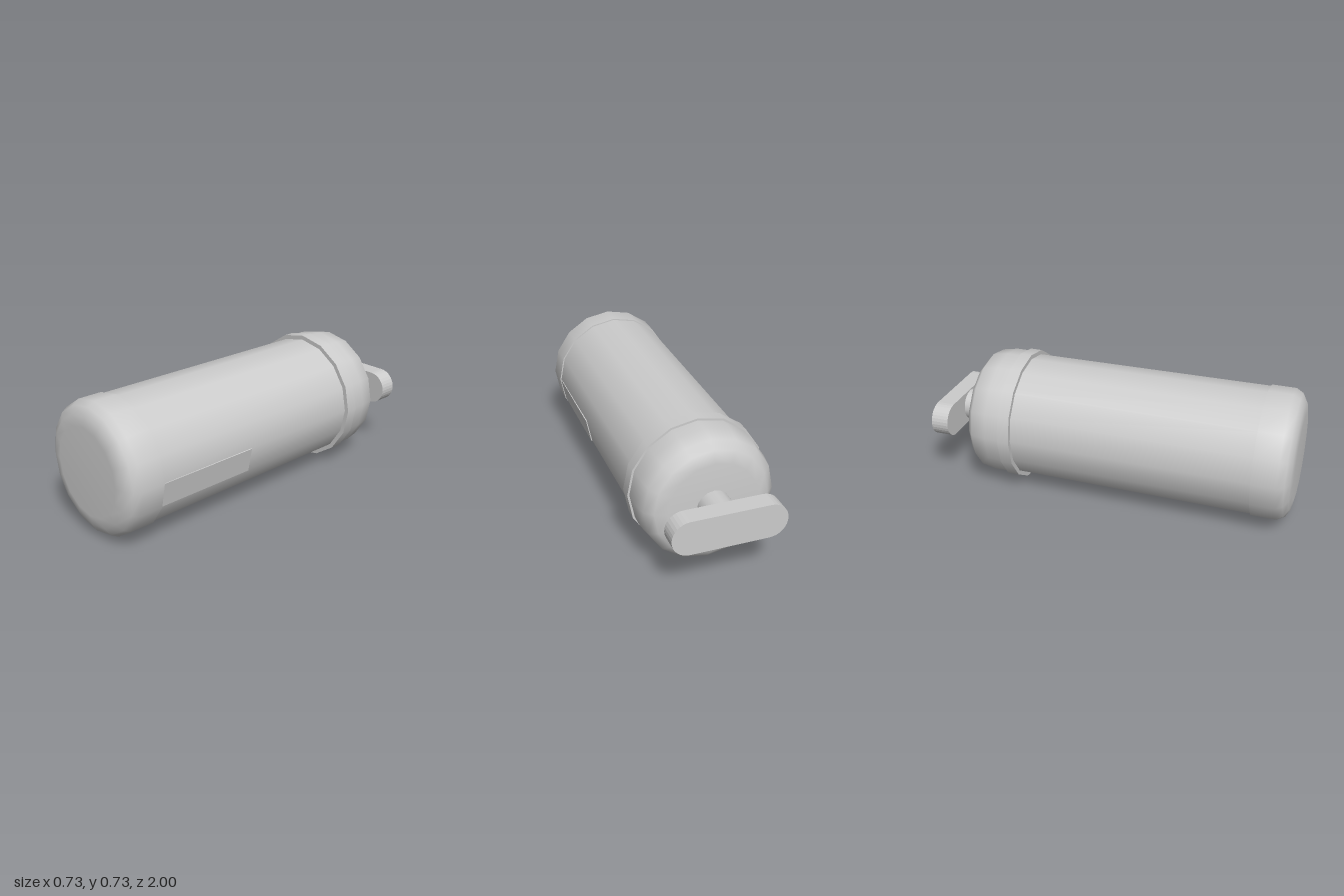
import * as THREE from 'three';

const CENTER_Y = 0.365;
const SIDES = 16;

// Turn a profile of [radius, z] points, listed from back to front, around the z axis.
// A repeated point makes a sharp edge.
function turned(name, profile, material, sides = SIDES) {
  const geometry = new THREE.LatheGeometry(profile.map(([r, z]) => new THREE.Vector2(r, z)), sides);
  geometry.normalizeNormals();
  geometry.rotateX(Math.PI / 2);
  const mesh = new THREE.Mesh(geometry, material);
  mesh.name = name;
  return mesh;
}

// Profile with every corner sharp
const sharp = (points) => points.flatMap((p, i) => (i > 0 && i < points.length - 1 ? [p, p] : [p]));

export function createModel() {
  const model = new THREE.Group();
  model.name = 'canister';
  const grey = new THREE.MeshStandardMaterial({ color: 0xcccccc });
  grey.name = 'light grey';

  // Long barrel, very slightly tapered to the back
  model.add(turned('barrel', [[0.339, -0.56], [0.345, 0.82]], grey));

  // Rounded front cap
  model.add(turned('frontCap', [
    [0.338, 0.8], [0.352, 0.8], [0.352, 0.8], [0.352, 0.93],
    [0.331, 0.967], [0.29, 0.99], [0.235, 1.0], [0, 1.0],
  ], grey));

  // Rounded back cap
  model.add(turned('backCap', [
    [0, -0.793], [0.235, -0.793], [0.295, -0.77], [0.337, -0.735],
    [0.352, -0.65], [0.352, -0.56],
  ], grey));

  // Raised collar between barrel and back cap
  model.add(turned('collar', sharp([
    [0.33, -0.57], [0.363, -0.57], [0.363, -0.505], [0.33, -0.505],
  ]), grey));

  // Stem of the handle
  model.add(turned('handleStem', [[0.087, -0.91], [0.087, -0.78]], grey, SIDES));

  // Crossbar with rounded ends
  const r = 0.092, half = 0.293 - r;
  const outline = new THREE.Shape();
  outline.moveTo(-half, -r);
  outline.lineTo(half, -r);
  outline.absarc(half, 0, r, -Math.PI / 2, Math.PI / 2, false);
  outline.lineTo(-half, r);
  outline.absarc(-half, 0, r, Math.PI / 2, Math.PI * 1.5, false);
  const bar = new THREE.Mesh(
    new THREE.ExtrudeGeometry(outline, { depth: 0.097, bevelEnabled: false, curveSegments: 8 }), grey);
  bar.name = 'handleBar';
  bar.position.z = -1.0;
  model.add(bar);

  // Flat plate lying on one facet of the barrel
  const step = (Math.PI * 2) / SIDES;
  const apothem = 0.345 * Math.cos(step / 2);
  const plate = new THREE.Mesh(
    new THREE.BoxGeometry(0.006, 2 * 0.345 * Math.sin(step / 2), 0.57), grey);
  plate.name = 'sidePlate';
  plate.position.set(apothem * Math.cos(step / 2), -apothem * Math.sin(step / 2), 0.515);
  plate.rotation.z = -step / 2;
  model.add(plate);

  model.children.forEach((part) => { part.position.y += CENTER_Y; });
  return model;
}
